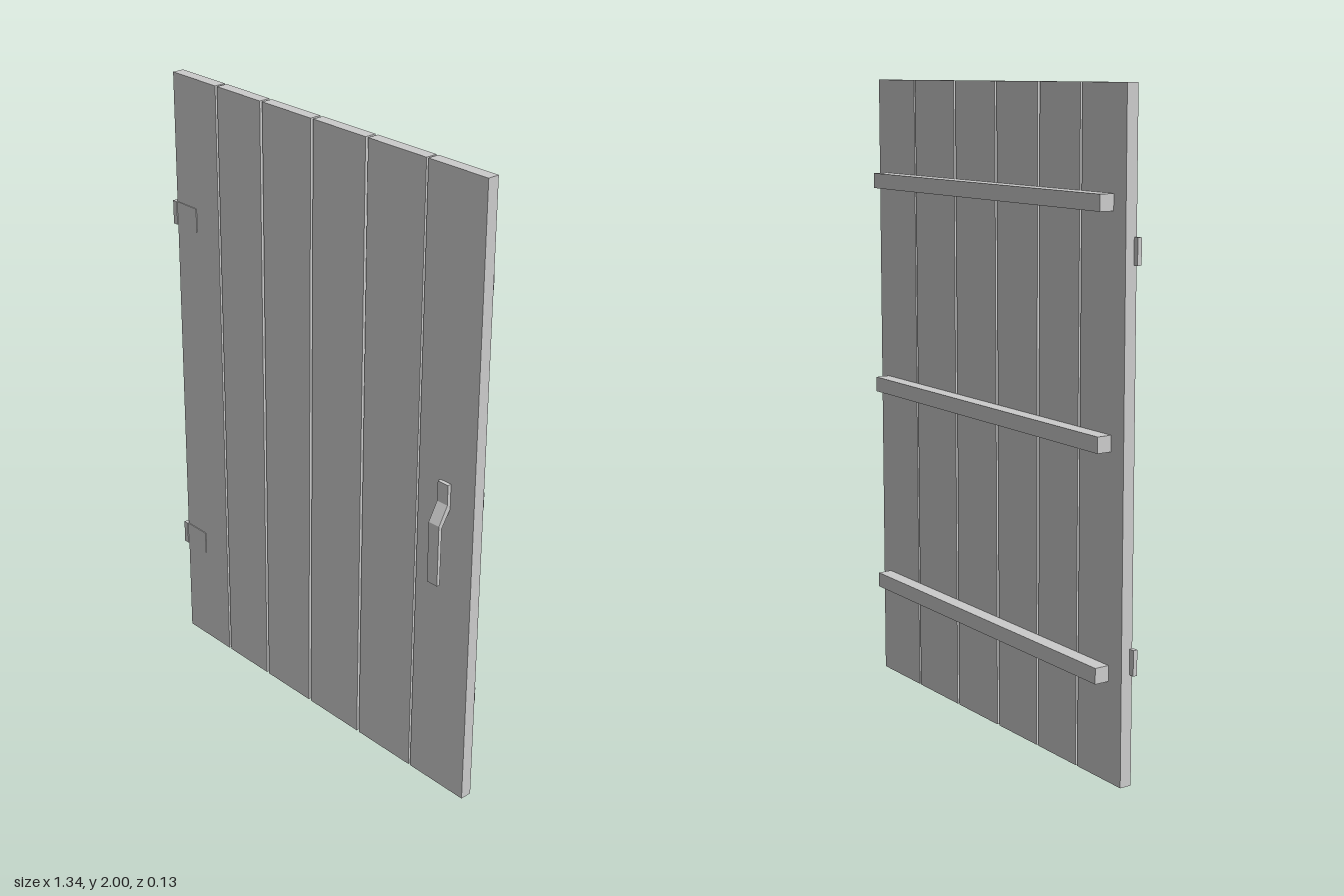
import * as THREE from 'three';

const material = new THREE.MeshStandardMaterial({ color: 0xcccccc, flatShading: true });

export function createModel() {
  const door = new THREE.Group();
  door.name = 'plankDoor';

  const add = (parent, name, geometry) => {
    const mesh = new THREE.Mesh(geometry, material);
    mesh.name = name;
    parent.add(mesh);
    return mesh;
  };
  // Box given by its minimum and maximum corners
  const block = (parent, name, [x0, y0, z0], [x1, y1, z1]) => {
    const geometry = new THREE.BoxGeometry(x1 - x0, y1 - y0, z1 - z0);
    add(parent, name, geometry).position.set((x0 + x1) / 2, (y0 + y1) / 2, (z0 + z1) / 2);
  };
  const extrude = (points, depth) => new THREE.ExtrudeGeometry(
    new THREE.Shape(points.map(([x, y]) => new THREE.Vector2(x, y))),
    { depth, bevelEnabled: false });

  // Planks, slightly uneven: [bottom left, bottom right, top right, top left]
  const planks = [
    [-0.656, -0.448, -0.446, -0.648],
    [-0.439, -0.248, -0.241, -0.437],
    [-0.238, -0.035, -0.019, -0.230],
    [-0.024, 0.198, 0.207, -0.009],
    [0.208, 0.436, 0.443, 0.217],
    [0.444, 0.669, 0.669, 0.450],
  ];
  planks.forEach(([bl, br, tr, tl], i) => {
    const geometry = extrude([[bl, 0], [br, 0], [tr, 2], [tl, 2]], 0.038);
    add(door, `plank${i + 1}`, geometry).position.z = -0.018;
  });

  // Cross battens on the back
  [0.328, 1.002, 1.676].forEach((y, i) => {
    block(door, `batten${i + 1}`, [-0.594, y - 0.024, -0.065], [0.628, y + 0.024, -0.018]);
  });

  // Hinge plates with a small folded edge beyond the planks
  [['lowerHinge', -0.672, 0.335], ['upperHinge', -0.666, 1.506]].forEach(([name, x, y]) => {
    const hinge = new THREE.Group();
    hinge.name = name;
    block(hinge, 'hingePlate', [x, y, 0.015], [x + 0.112, y + 0.077, 0.0225]);
    block(hinge, 'hingeKnuckle', [x, y, 0.011], [x + 0.018, y + 0.077, 0.025]);
    door.add(hinge);
  });

  // Bent strap handle, drawn as a side profile and extruded across its width
  const profile = [
    [0.018, 1.063], [0.018, 0.985], [0.052, 0.93], [0.053, 0.74],
    [0.064, 0.74], [0.064, 0.94], [0.032, 0.998], [0.032, 1.063],
  ];
  const handle = add(door, 'handle', extrude(profile.map(([z, y]) => [-z, y]).reverse(), 0.041));
  handle.rotation.y = Math.PI / 2;
  handle.position.x = 0.535;

  return door;
}
